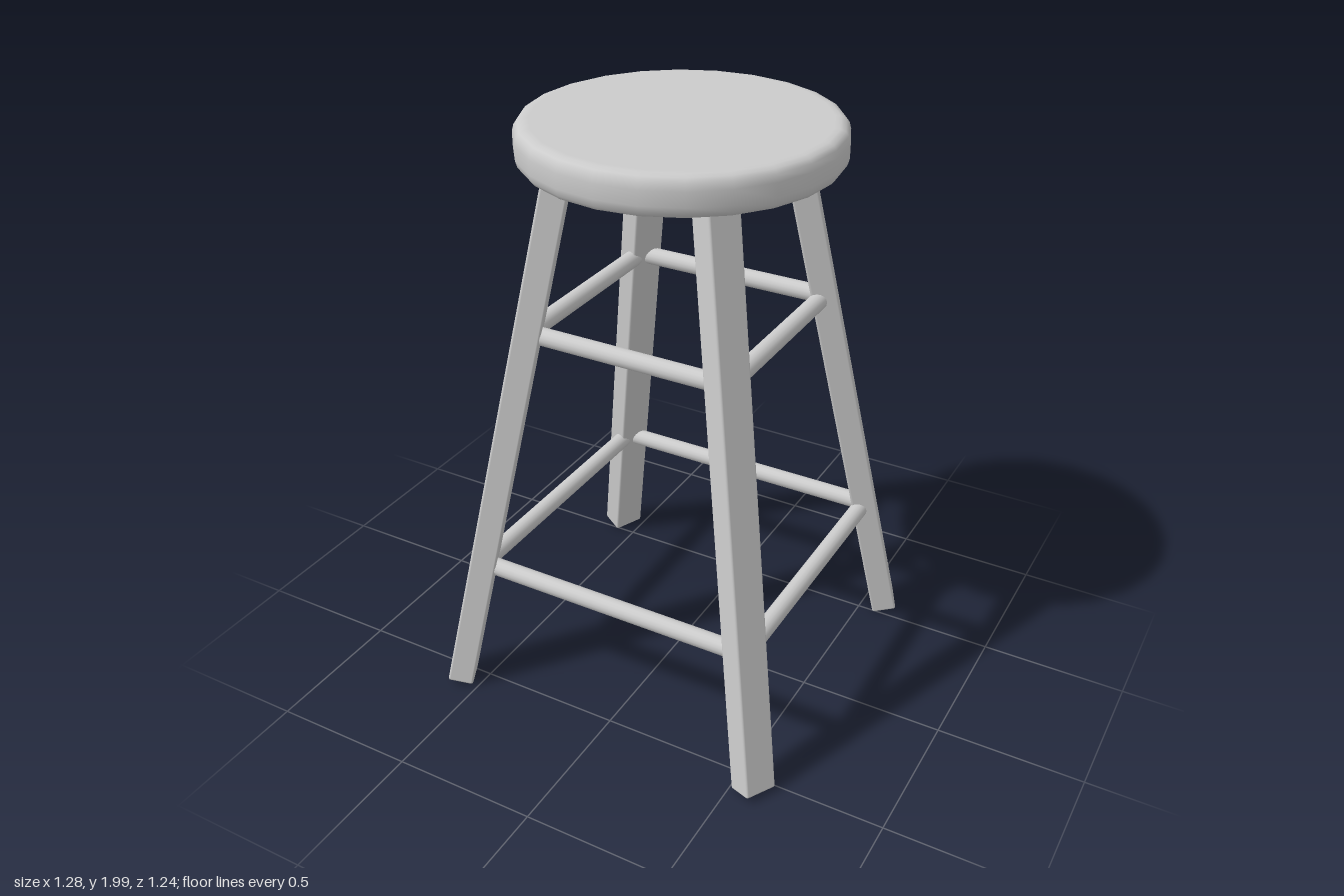
import * as THREE from 'three';
import { RoundedBoxGeometry } from 'three/addons/geometries/RoundedBoxGeometry.js';

const material = new THREE.MeshStandardMaterial({ color: 0xcccccc });

// Centre line of the front left leg; the others mirror it
const FOOT = new THREE.Vector3(0.577, 0.016, 0.556);
const HEAD = new THREE.Vector3(0.255, 1.92, 0.262);
const legPoint = (y, sx, sz) => {
  const p = FOOT.clone().lerp(HEAD, (y - FOOT.y) / (HEAD.y - FOOT.y));
  return p.set(p.x * sx - 0.004, p.y, p.z * sz - 0.004);
};

function add(parent, name, geometry) {
  const mesh = new THREE.Mesh(geometry, material);
  mesh.name = name;
  parent.add(mesh);
  return mesh;
}

// Rectangular splayed leg, rolled so its broad face points mostly sideways
function addLeg(parent, name, sx, sz) {
  const a = legPoint(FOOT.y, sx, sz);
  const b = legPoint(HEAD.y, sx, sz);
  const yAxis = b.clone().sub(a).normalize();
  const xAxis = new THREE.Vector3(0.89 * sx, 0, 0.455 * sz);
  xAxis.addScaledVector(yAxis, -xAxis.dot(yAxis)).normalize();
  const zAxis = xAxis.clone().cross(yAxis);
  const leg = add(parent, name, new RoundedBoxGeometry(0.088, a.distanceTo(b), 0.115, 2, 0.008));
  leg.quaternion.setFromRotationMatrix(new THREE.Matrix4().makeBasis(xAxis, yAxis, zAxis));
  leg.position.copy(a).add(b).multiplyScalar(0.5);
}

// Round rung between two points
function addRung(parent, name, a, b) {
  const rung = add(parent, name, new THREE.CylinderGeometry(0.03, 0.03, a.distanceTo(b), 16));
  rung.quaternion.setFromUnitVectors(new THREE.Vector3(0, 1, 0), b.clone().sub(a).normalize());
  rung.position.copy(a).add(b).multiplyScalar(0.5);
}

export function createModel() {
  const stool = new THREE.Group();
  stool.name = 'stool';

  // Round seat with softened rims
  const profile = [
    [0, 1.87], [0.46, 1.87], [0.478, 1.871], [0.494, 1.877], [0.504, 1.89], [0.51, 1.912],
    [0.51, 1.958], [0.504, 1.98], [0.494, 1.993], [0.478, 1.999], [0.46, 2], [0, 2],
  ].map(([r, y]) => new THREE.Vector2(r, y));
  add(stool, 'seat', new THREE.LatheGeometry(profile, 24)).position.x = 0.004;

  // Corners in order around the stool
  const corners = [
    ['frontLeft', 1, 1], ['frontRight', -1, 1], ['backRight', -1, -1], ['backLeft', 1, -1],
  ];
  for (const [name, sx, sz] of corners) addLeg(stool, name + 'Leg', sx, sz);

  // Two rings of rungs joining neighbouring legs
  const sides = ['front', 'right', 'back', 'left'];
  for (const [level, y] of [['Lower', 0.485], ['Upper', 1.34]]) {
    sides.forEach((side, i) => {
      const [, ax, az] = corners[i];
      const [, bx, bz] = corners[(i + 1) % 4];
      addRung(stool, side + level + 'Rung', legPoint(y, ax, az), legPoint(y, bx, bz));
    });
  }
  return stool;
}
